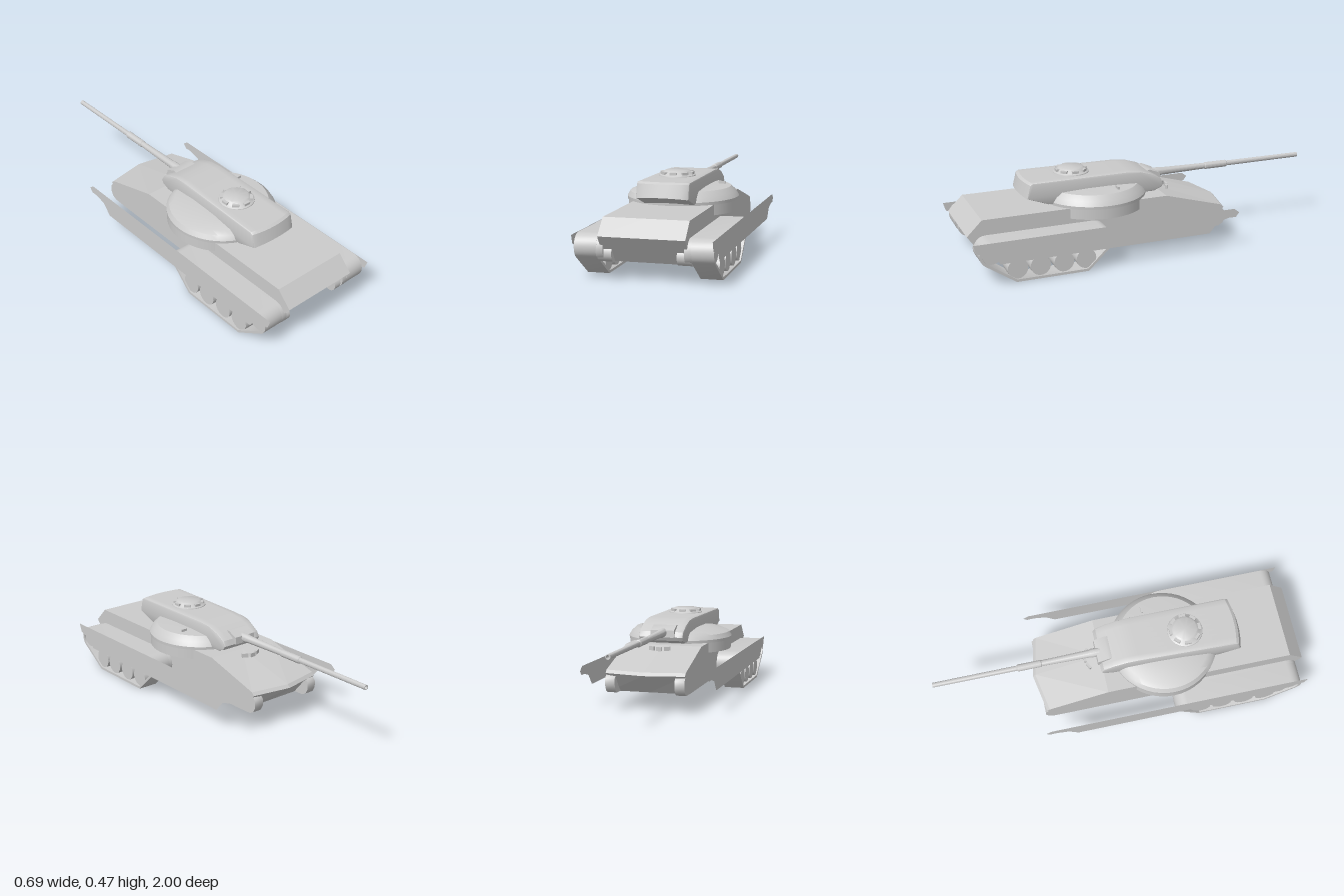
import * as THREE from 'three';
import { toCreasedNormals } from 'three/addons/utils/BufferGeometryUtils.js';

const material = new THREE.MeshStandardMaterial({ color: 0xcccccc });
const sheet = new THREE.MeshStandardMaterial({ color: 0xcccccc, side: THREE.DoubleSide });
const vec = (pts) => pts.map(([z, y]) => new THREE.Vector2(z, y));

// Extrude a side profile of [z, y] points across the width, centred on x = 0
function sideExtrude(points, width, { hole, steps = 1, bevel = 0 } = {}) {
  const shape = new THREE.Shape(vec(points));
  if (hole) shape.holes.push(new THREE.Path(vec(hole)));
  const geo = new THREE.ExtrudeGeometry(shape, {
    depth: width - 2 * bevel, steps, bevelEnabled: bevel > 0,
    bevelThickness: bevel, bevelSize: bevel, bevelOffset: -bevel, bevelSegments: 2,
  });
  geo.translate(0, 0, bevel - width / 2);
  return geo.rotateY(-Math.PI / 2);
}

// Move every vertex by a rule
function deform(geo, rule) {
  const p = geo.attributes.position;
  const v = new THREE.Vector3();
  for (let i = 0; i < p.count; i++) {
    v.fromBufferAttribute(p, i);
    rule(v);
    p.setXYZ(i, v.x, v.y, v.z);
  }
  return geo;
}

// Outline of the track run: round ends, narrower flat bottom
function trackOutline(r, bottom) {
  const pts = [];
  const arc = (cz, from, to) => {
    for (let i = 0; i <= 12; i++) {
      const a = THREE.MathUtils.degToRad(from + ((to - from) * i) / 12);
      pts.push([cz + r * Math.cos(a), 0.16 + r * Math.sin(a)]);
    }
  };
  arc(0.325, 90, 222);
  pts.push([0.4 + bottom * 0.3, bottom], [0.785 - bottom * 0.3, bottom]);
  arc(0.905, -52, 90);
  return pts;
}

export function createModel() {
  const model = new THREE.Group();
  const add = (name, geo, x = 0, y = 0, z = 0, mat = material) => {
    const mesh = new THREE.Mesh(geo, mat);
    mesh.name = name;
    mesh.position.set(x, y, z);
    model.add(mesh);
    return mesh;
  };
  const crease = (geo, angle = 0.6) => toCreasedNormals(geo, angle);
  const axle = (r, w, n = 24) => new THREE.CylinderGeometry(r, r, w, n).rotateZ(Math.PI / 2);

  // Hull with a shallow V-shaped prow
  const hull = sideExtrude([
    [1, 0.225], [0.92, 0.305], [-0.09, 0.305], [-0.455, 0.213],
    [-0.47, 0.197], [-0.34, 0.09], [0.9, 0.09],
  ], 0.426, { steps: 2 });
  deform(hull, (v) => { if (v.z < -0.4) v.z += 0.04 * Math.abs(v.x) / 0.213; });
  hull.computeVertexNormals();
  add('hull', hull);

  const outer = trackOutline(0.065, 0);
  const inner = trackOutline(0.052, 0.013);
  for (const s of [-1, 1]) {
    // Running gear
    add('track', crease(sideExtrude(outer, 0.112, { hole: inner })), s * 0.286);
    for (const z of [0.775, 0.655, 0.53, 0.41]) add('roadWheel', axle(0.053, 0.1), s * 0.284, 0.068, z);
    for (const z of [0.905, 0.325]) add('endWheel', axle(0.05, 0.1), s * 0.284, 0.16, z);

    // Rounded filler between hull and track
    const filler = [];
    for (let i = 0; i < 26; i++) {
      const a = Math.PI / 2 + (i % 13) * Math.PI / 12 + (i < 13 ? 0 : Math.PI);
      filler.push([(i < 13 ? 0.325 : 0.905) + 0.065 * Math.cos(a), 0.158 + 0.065 * Math.sin(a)]);
    }
    add('sponson', crease(sideExtrude(filler, 0.035)), s * 0.216);

    // Final drive housings at both ends of the hull
    add('rearDriveHousing', axle(0.0425, 0.07), s * 0.195, 0.133, 0.915);
    add('frontDriveHousing', crease(sideExtrude([
      [-0.3, 0.09], [-0.3, 0.19], [-0.42, 0.19], [-0.44, 0.17], [-0.44, 0.135], [-0.425, 0.105], [-0.4, 0.092],
    ], 0.053), 0.8), s * 0.1865);

    // Thin side skirt
    const skirt = new THREE.ShapeGeometry(new THREE.Shape(vec([
      [1, 0.226], [-0.43, 0.228], [-0.46, 0.205], [-0.44, 0.18], [-0.4, 0.182], [-0.335, 0.165],
      [-0.285, 0.108], [0.865, 0.108], [0.89, 0.15], [0.985, 0.18],
    ]))).rotateY(-Math.PI / 2);
    add('sideSkirt', skirt, s * 0.3425, 0, 0, sheet);

    // Driver periscopes on the sloping front plate
    add('driverPeriscope', new THREE.BoxGeometry(0.035, 0.022, 0.012), s * 0.042, 0.297, -0.162).rotation.y = s * -0.5;
  }
  add('driverPeriscope', new THREE.BoxGeometry(0.03, 0.022, 0.012), 0, 0.295, -0.175);

  // Turret ring and its dome, with a lower shoulder on the right
  add('turretRing', new THREE.CylinderGeometry(0.288, 0.288, 0.056, 48), 0, 0.278, 0.26);
  const dome = new THREE.LatheGeometry(vec([
    [0, 0.304], [0.291, 0.304], [0.292, 0.32], [0.277, 0.345], [0.25, 0.37], [0.15, 0.376], [0, 0.376],
  ]), 48);
  deform(dome, (v) => {
    const r = Math.hypot(v.x, v.z);
    if (v.x < 0 && v.y > 0.36 && r > 0.2) v.y += 0.016 * v.x / r;
  });
  add('turretDome', crease(dome), 0, 0, 0.26);
  add('domeBlock', new THREE.BoxGeometry(0.036, 0.014, 0.01), 0.188, 0.379, 0.18);

  // Long turret body: bowed rear, tapered toward the gun on the right side
  const body = sideExtrude([
    [0.658, 0.355], [0.64, 0.428], [0.625, 0.437], [0.1, 0.437], [0.03, 0.43], [-0.04, 0.408],
    [-0.09, 0.378], [-0.105, 0.35], [-0.095, 0.33], [-0.05, 0.313], [0.54, 0.312],
  ], 0.272, { steps: 8, bevel: 0.008 });
  deform(body, (v) => {
    const bow = 1 - (v.x / 0.136) ** 2;
    if (v.z > 0.5) {
      v.z += 0.018 * bow;
      if (v.y < 0.38) v.y += 0.008 * bow;
    }
    if (v.x < 0) v.x *= THREE.MathUtils.mapLinear(v.z, -0.1, 0.66, 0.82, 1);
  });
  add('turretBody', crease(body, 0.5));

  // Gun mantlet and barrel
  add('mantlet', crease(sideExtrude([
    [-0.03, 0.345], [-0.03, 0.408], [-0.055, 0.412], [-0.112, 0.388], [-0.115, 0.35],
  ], 0.13)), 0, 0, 0);
  const barrel = new THREE.LatheGeometry(vec([
    [0, 0.08], [0.024, 0.08], [0.024, 0.14], [0.021, 0.15], [0.016, 0.41], [0.019, 0.413], [0.019, 0.54],
    [0.014, 0.545], [0.013, 1], [0.009, 1], [0.009, 0.96], [0, 0.96],
  ]), 20).rotateX(-Math.PI / 2);
  add('gunBarrel', crease(barrel), 0, 0.374, 0);

  // Commander cupola with a ring of vision blocks
  const cupola = new THREE.LatheGeometry(vec([
    [0.096, 0.434], [0.094, 0.441], [0.078, 0.449], [0.068, 0.462], [0.062, 0.465], [0, 0.465],
  ]), 32);
  add('cupola', crease(cupola), 0, 0, 0.375);
  for (let i = 0; i < 8; i++) {
    const a = (i * Math.PI) / 4;
    const block = add('visionBlock', new THREE.BoxGeometry(0.036, 0.013, 0.016),
      0.077 * Math.sin(a), 0.452, 0.375 + 0.077 * Math.cos(a));
    block.rotation.y = a;
  }
  return model;
}
